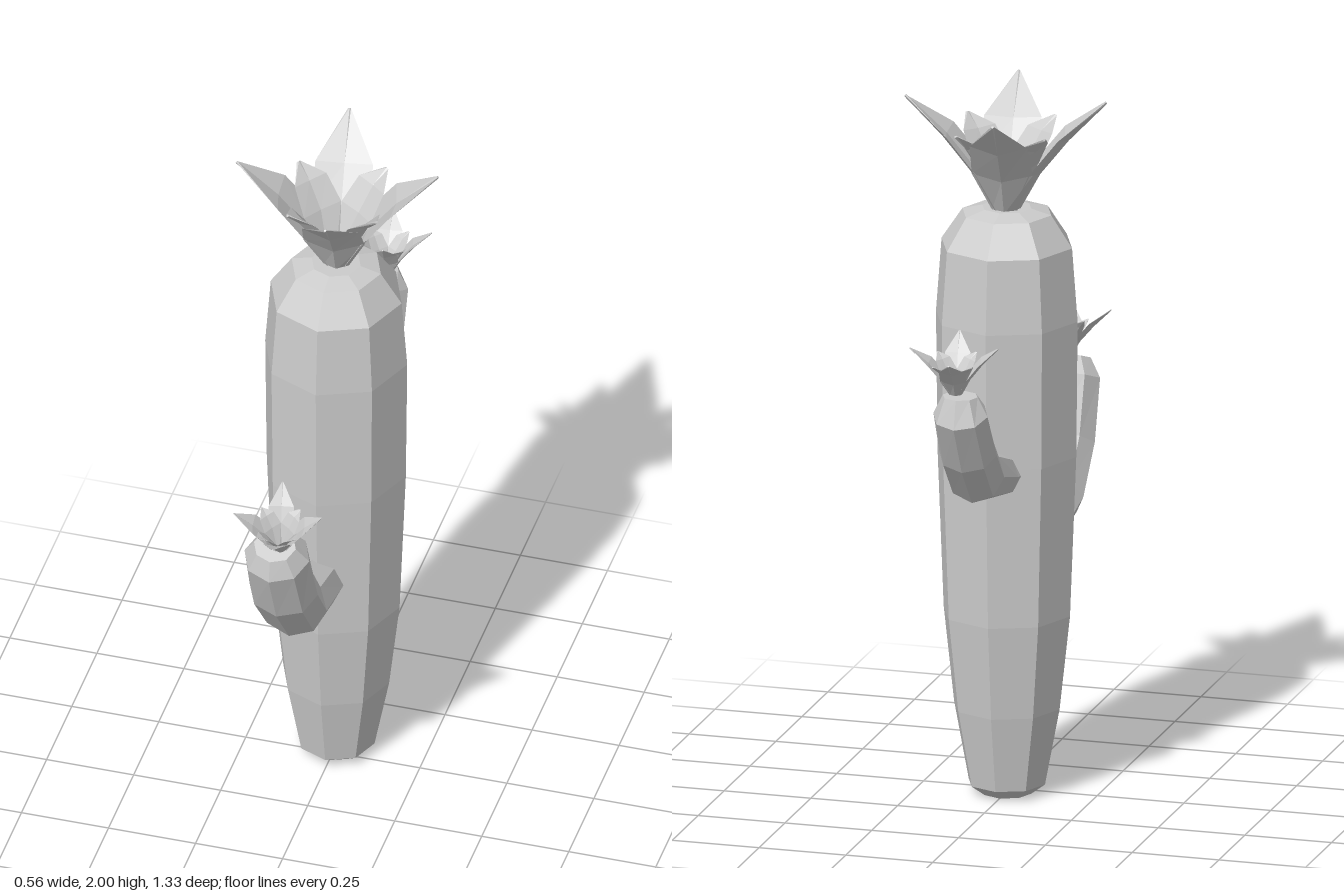
import * as THREE from 'three';

const material = new THREE.MeshStandardMaterial({ color: 0xcccccc, flatShading: true, side: THREE.DoubleSide });

// Sweeps an n-sided section along stations [z, y, halfWidth, halfDepth] lying in the plane x = 0.
// cup bends the side edges inward, giving a folded leaf.
function sweep(name, stations, n, cup = 0) {
  const centres = stations.map(([z, y]) => new THREE.Vector3(0, y, z));
  const last = centres.length - 1;
  const xAxis = new THREE.Vector3(1, 0, 0);
  const positions = [];
  const indices = [];
  centres.forEach((c, i) => {
    const tangent = centres[Math.min(i + 1, last)].clone().sub(centres[Math.max(i - 1, 0)]).normalize();
    const depthAxis = xAxis.clone().cross(tangent);
    const [, , rx, rd = rx] = stations[i];
    for (let k = 0; k < n; k++) {
      const a = (k / n) * Math.PI * 2;
      const s = Math.sin(a);
      const p = c.clone()
        .addScaledVector(xAxis, s * rx)
        .addScaledVector(depthAxis, Math.cos(a) * rd - cup * s * s * Math.min(1, rx / 0.08));
      positions.push(p.x, p.y, p.z);
      if (i < last) {
        const p0 = i * n + k, p1 = i * n + (k + 1) % n;
        indices.push(p0, p1, p1 + n, p0, p1 + n, p0 + n);
      }
    }
  });
  // End caps
  for (let k = 1; k < n - 1; k++) {
    indices.push(0, k + 1, k, last * n, last * n + k, last * n + k + 1);
  }
  const indexed = new THREE.BufferGeometry();
  indexed.setAttribute('position', new THREE.Float32BufferAttribute(positions, 3));
  indexed.setIndex(indices);
  const geometry = indexed.toNonIndexed();
  geometry.computeVertexNormals();
  const mesh = new THREE.Mesh(geometry, material);
  mesh.name = name;
  return mesh;
}

// Four long pointed petals around four shorter rounded ones
function createFlower(name, y, z, scale, tilt) {
  const flower = new THREE.Group();
  flower.name = name;
  const outer = [[0.03, 0, 0.035, 0.008], [0.09, 0.11, 0.085, 0.008], [0.17, 0.21, 0.08, 0.008], [0.28, 0.318, 0.004, 0.004]];
  const inner = [[0.015, 0, 0.02, 0.007], [0.08, 0.13, 0.065, 0.007], [0.13, 0.2, 0.055, 0.007], [0.175, 0.24, 0.006, 0.004]];
  for (let i = 0; i < 4; i++) {
    const angle = 0.16 + i * Math.PI / 2;
    const outerPetal = sweep('outerPetal', outer, 4, 0.02);
    outerPetal.rotation.y = angle;
    const innerPetal = sweep('innerPetal', inner, 4, 0.02);
    innerPetal.rotation.y = angle + Math.PI / 4;
    flower.add(outerPetal, innerPetal);
  }
  flower.position.set(0, y, z);
  flower.scale.setScalar(scale);
  flower.rotation.x = tilt;
  return flower;
}

export function createModel() {
  const model = new THREE.Group();
  model.name = 'cactus';

  // Eight-sided trunk, tapering to the foot
  const trunkProfile = [
    [0, 0.07], [0.03, 0.11], [0.25, 0.152], [0.52, 0.182], [0.98, 0.2],
    [1.37, 0.204], [1.58, 0.188], [1.67, 0.128], [1.685, 0.07],
  ];
  const trunk = sweep('trunk', trunkProfile.map(([y, r]) => [0, y, r]), 8);
  trunk.position.z = -0.034;
  model.add(trunk);

  // Bent arms with narrowed tips
  const frontArm = sweep('frontArm', [
    [0.06, 0.67, 0.08, 0.076], [0.14, 0.695, 0.085, 0.078], [0.33, 0.755, 0.095, 0.087],
    [0.43, 0.885, 0.098, 0.085], [0.497, 1.05, 0.093, 0.088], [0.517, 1.1, 0.06, 0.055],
  ], 8);
  const backArm = sweep('backArm', [
    [-0.12, 0.945, 0.07, 0.063], [-0.22, 0.967, 0.073, 0.064], [-0.39, 1.015, 0.082, 0.08],
    [-0.465, 1.1, 0.083, 0.073], [-0.538, 1.23, 0.078, 0.072], [-0.54, 1.285, 0.05, 0.045],
  ], 8);
  frontArm.position.x = backArm.position.x = -0.017;
  model.add(frontArm, backArm);

  model.add(
    createFlower('topFlower', 1.68, -0.045, 1, 0),
    createFlower('frontFlower', 1.095, 0.517, 0.44, 0.23),
    createFlower('backFlower', 1.283, -0.525, 0.44, -0.14),
  );
  return model;
}
